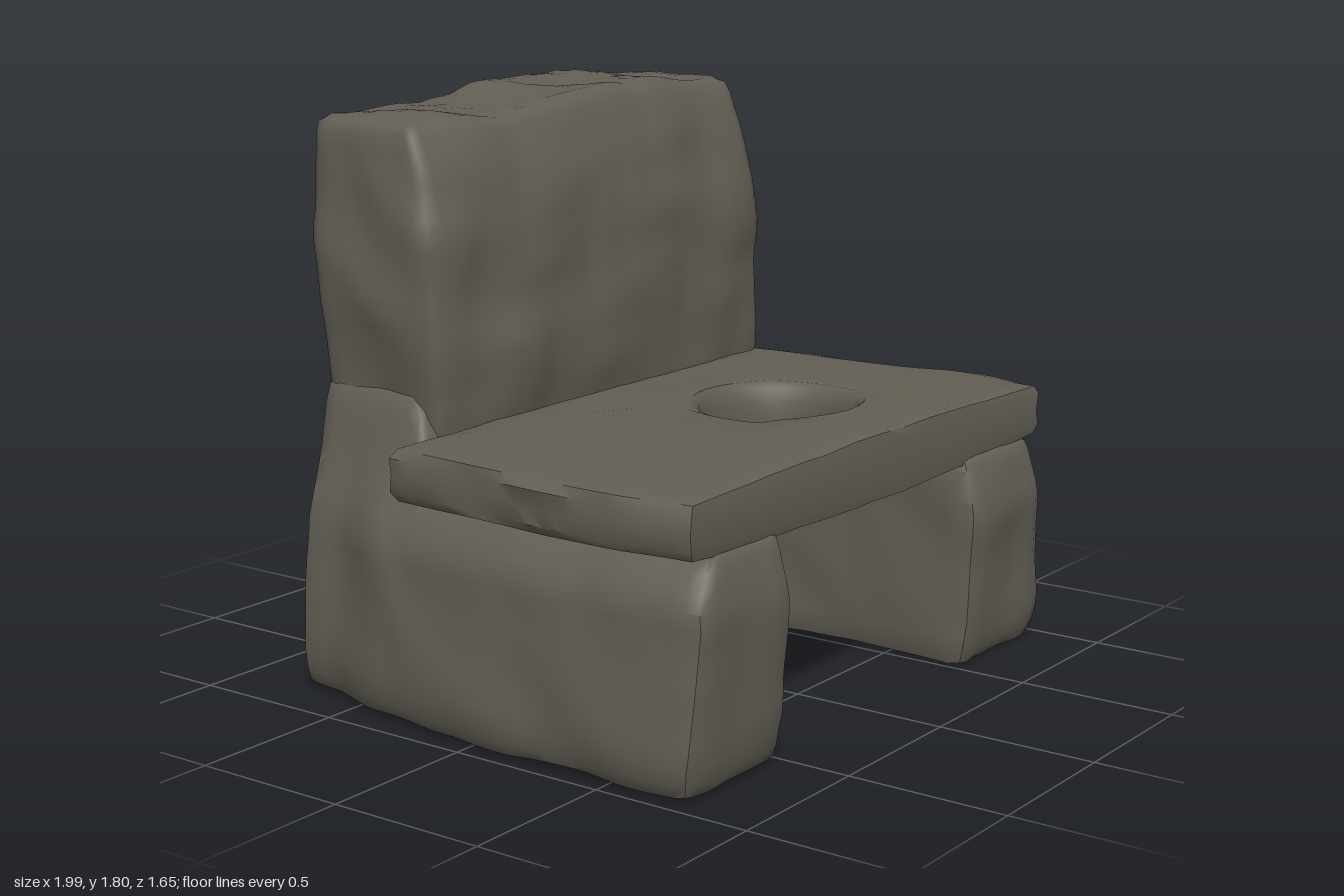
import * as THREE from 'three';
import { mergeVertices, toCreasedNormals } from 'three/addons/utils/BufferGeometryUtils.js';

const stone = new THREE.MeshStandardMaterial({ color: 0x625e54 });
stone.name = 'grey brown stone';

// Piecewise linear curve through [t, value] pairs
function curve(points, t) {
  if (t <= points[0][0]) return points[0][1];
  for (let i = 1; i < points.length; i++) {
    const [a, va] = points[i - 1], [b, vb] = points[i];
    if (t <= b) return va + (vb - va) * (t - a) / (b - a);
  }
  return points[points.length - 1][1];
}

// Smooth lumpy displacement, about -1 to 1
function lumps(x, y, z, seed) {
  const a = Math.sin(7.1 * x + 3.3 * y + 5.2 * z + seed);
  const b = Math.sin(9.7 * y - 6.1 * x + 4.4 * z + seed * 2.3);
  const c = Math.sin(12.3 * z + 8.7 * y - 10.9 * x + seed * 3.7);
  return (a * b + 0.6 * c * a + 0.4 * Math.sin(17 * x + 13 * y + 2 * c)) / 1.6;
}

function makeStone(name, geometry, crease) {
  geometry.computeVertexNormals();
  const mesh = new THREE.Mesh(toCreasedNormals(geometry, crease), stone);
  mesh.name = name;
  return mesh;
}

// Worn block: unit box mapped by place(u, v, w) with rounded edges and lumps
function block(name, size, round, rough, seed, place) {
  const step = 0.05;
  const box = new THREE.BoxGeometry(...size, ...size.map((s) => Math.round(s / step)));
  box.deleteAttribute('uv');
  box.deleteAttribute('normal');
  const geometry = mergeVertices(box, 1e-4);
  const pos = geometry.attributes.position;
  const half = new THREE.Vector3(...size).multiplyScalar(0.5);
  const inner = half.clone().subScalar(round);
  const p = new THREE.Vector3(), core = new THREE.Vector3(), out = new THREE.Vector3();
  for (let i = 0; i < pos.count; i++) {
    p.fromBufferAttribute(pos, i);
    core.copy(p).clamp(inner.clone().negate(), inner);
    out.copy(p).sub(core).normalize();
    p.copy(core).addScaledVector(out, round + rough * lumps(p.x, p.y, p.z, seed));
    const q = place(p.x / half.x, p.y / half.y, p.z / half.z);
    pos.setXYZ(i, q[0], Math.max(0, q[1]), q[2]);
  }
  return makeStone(name, geometry, 0.9);
}

const mix = (a, b, t) => a + (b - a) * (t + 1) / 2;

// Leg slab: side is +1 for the left leg, -1 for the right; its rear rises into the backrest
function leg(side) {
  const rear = side > 0
    ? [[-0.75, 0.9], [-0.3, 0.93], [0.1, 0.95], [0.5, 0.97], [0.8, 0.95]]
    : [[-0.75, 0.835], [-0.6, 0.84], [-0.4, 0.91], [0, 0.95], [0.5, 0.96], [0.8, 0.95]];
  const shoulder = side > 0 ? 0.89 : 0.71;
  const flare = [[0, 0.01], [0.12, 0.03], [0.4, 0], [0.7, -0.02]];
  return block(side > 0 ? 'leftLeg' : 'rightLeg', [0.46, 0.69, 1.56], 0.04, 0.012, side + 3, (u, v, w) => {
    const front = curve([[0, 0.775], [0.15, 0.8], [0.5, 0.815], [0.68, 0.78]], (v + 1) * 0.34);
    const z = mix(-0.75, front, w);
    const y = mix(0, curve([[-0.38, 0.95], [-0.26, 0.68]], z), v);
    const blend = curve([[0.55, 0], [0.75, 0.6], [0.95, 1]], y);
    const outer = curve(rear, z) + curve(flare, y);
    const x = mix(0.505, outer + (shoulder - outer) * blend, u * side);
    return [side * x, y, z];
  });
}

function backrest() {
  return block('backrest', [1.62, 1.18, 0.56], 0.045, 0.018, 1.3, (u, v, w) => {
    const y0 = mix(0.62, 1.77, v);
    const left = curve([[0.6, -0.71], [0.9, -0.71], [1.2, -0.74], [1.7, -0.725]], y0);
    const right = curve([[0.6, 0.9], [1.2, 0.905], [1.5, 0.87], [1.77, 0.85]], y0);
    const x = mix(left, right, u);
    const y = mix(0.62, curve([[-0.73, 1.745], [-0.3, 1.745], [0.2, 1.79], [0.45, 1.785], [0.85, 1.765]], x), v);
    const front = curve([[0.6, -0.28], [0.85, -0.25], [1.1, -0.23], [1.4, -0.25], [1.6, -0.28], [1.77, -0.35]], y)
      + curve([[-0.73, -0.06], [-0.4, -0.015], [0.2, 0.0], [0.9, -0.015]], x);
    const back = curve([[0.6, -0.745], [0.8, -0.765], [1.1, -0.785], [1.5, -0.805], [1.77, -0.78]], y)
      + curve([[-0.73, 0.02], [0.35, -0.01], [0.9, 0.01]], x);
    return [x, y, mix(back, front, w)];
  });
}

// Seat slab lofted around its round hole: [outward fraction, height fraction] profile
function seat() {
  const cx = 0.235, cz = 0.265, radius = 0.235, side = 20;
  const profile = [[0, 0.3], [0, 0.7], [0.03, 0.9], [0.08, 1], [0.25, 1], [0.5, 1], [0.75, 1], [0.93, 1], [0.98, 0.96],
    [1, 0.8], [1, 0.5], [1, 0.2], [0.98, 0.04], [0.9, 0], [0.7, 0], [0.4, 0], [0.1, 0], [0.02, 0.08]];
  const outline = [];
  for (let k = 0; k < 4; k++) {
    for (let i = 0; i < side; i++) {
      const t = -1 + 2 * i / side;
      const [u, w] = [[t, -1], [1, t], [-t, 1], [-1, -t]][k];
      const z = mix(-0.3, 0.785, w);
      const left = curve([[-0.3, -0.925], [0, -0.95], [0.3, -0.975], [0.55, -0.98], [0.77, -0.95]], z);
      const right = curve([[-0.3, 0.925], [0.1, 0.945], [0.5, 0.975], [0.77, 0.95]], z);
      const x = mix(left, right, u);
      const bow = w > 0 ? -0.03 * w * Math.cos(x * 1.6) : 0;
      outline.push([x, z + bow]);
    }
  }
  const verts = [], index = [], n = outline.length, m = profile.length;
  outline.forEach(([ox, oz], i) => {
    const angle = Math.atan2(oz - cz, ox - cx);
    const hx = cx + radius * Math.cos(angle), hz = cz + radius * Math.sin(angle);
    profile.forEach(([s, h], j) => {
      const bump = s > 0.02 ? lumps(ox * s, h, oz * s, 5) : 0;
      const x = hx + (ox - hx) * s + (s > 0.95 ? 0.012 * bump * Math.sign(ox) : 0);
      const z = hz + (oz - hz) * s;
      const low = curve([[-0.95, 0.67], [-0.6, 0.645], [0, 0.63], [0.5, 0.64], [0.95, 0.67]], x);
      const high = curve([[-0.95, 0.835], [0, 0.845], [0.95, 0.84]], x);
      verts.push(x, low + (high - low) * h + 0.005 * bump, z);
      const i2 = (i + 1) % n, j2 = (j + 1) % m;
      const a = i * m + j, b = i2 * m + j, c = i2 * m + j2, d = i * m + j2;
      index.push(a, b, d, b, c, d);
    });
  });
  const geometry = new THREE.BufferGeometry();
  geometry.setAttribute('position', new THREE.Float32BufferAttribute(verts, 3));
  geometry.setIndex(index);
  return makeStone('seat', geometry, 0.8);
}

export function createModel() {
  const group = new THREE.Group();
  group.name = 'stoneSeat';
  group.add(leg(1), leg(-1), seat(), backrest());
  return group;
}
